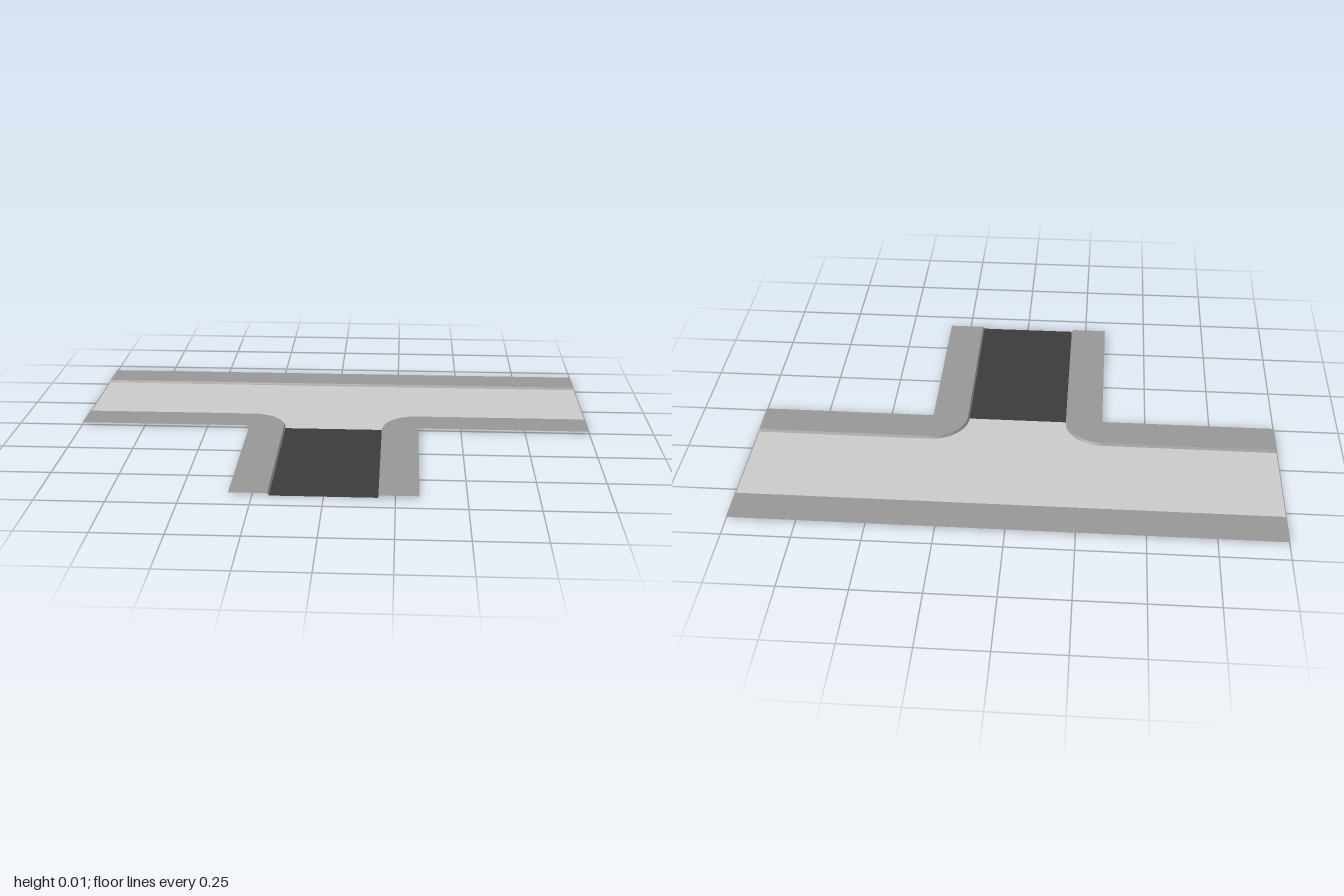
import * as THREE from 'three';

const END = 1;          // half length of the main road
const DEPTH = 0.667;    // half depth of the whole junction
const BRANCH = 0.333;   // half width of the side road with pavements
const WALK = 0.137;     // pavement width
const SLOPE = 0.006;    // sideways lean of the kerb face
const HEIGHT = 0.009;   // kerb height

const material = (color) => new THREE.MeshStandardMaterial({
  color, roughness: 0.9, flatShading: true, side: THREE.DoubleSide,
});

// Edge line of one front pavement at distance r from its outer border, as [x, z] pairs
function kerbLine(side, r) {
  const pts = [[side * END, -r]];
  const steps = 12;
  for (let i = 0; i <= steps; i++) {
    const a = (i / steps) * Math.PI / 2;
    pts.push([side * (BRANCH - r * Math.sin(a)), -r * Math.cos(a)]);
  }
  pts.push([side * (BRANCH - r), DEPTH]);
  return pts;
}

// Horizontal sheet from an [x, z] outline
function sheet(name, outline, y, mat) {
  const shape = new THREE.Shape(outline.map(([x, z]) => new THREE.Vector2(x, -z)));
  const geo = new THREE.ShapeGeometry(shape).rotateX(-Math.PI / 2);
  const mesh = new THREE.Mesh(geo, mat);
  mesh.name = name;
  mesh.position.y = y;
  return mesh;
}

// Sloped strip joining a low line to a high line
function kerb(name, low, high, mat) {
  const pos = [];
  const index = [];
  low.forEach(([x, z], i) => {
    pos.push(x, 0, z, high[i][0], HEIGHT, high[i][1]);
    if (i > 0) {
      const a = 2 * (i - 1);
      index.push(a, a + 2, a + 3, a, a + 3, a + 1);
    }
  });
  // Turn the strip over when it would face downwards
  const dx = low[1][0] - low[0][0];
  const dz = high[0][1] - low[0][1];
  if (dx * dz > 0) index.reverse();
  const geo = new THREE.BufferGeometry();
  geo.setAttribute('position', new THREE.Float32BufferAttribute(pos, 3));
  geo.setIndex(index);
  geo.computeVertexNormals();
  const mesh = new THREE.Mesh(geo, mat);
  mesh.name = name;
  return mesh;
}

export function createModel() {
  const group = new THREE.Group();
  group.name = 'roadJunction';
  const road = material(0xcccccc);
  const asphalt = material(0x3c3c3c);
  const paving = material(0x989898);

  const low = WALK + SLOPE;
  const backLow = -DEPTH + low;
  const backHigh = -DEPTH + WALK;

  // Main road with its rounded mouth towards the side road
  const mouth = (side) => kerbLine(side, low).slice(0, -1);
  group.add(sheet('mainRoad', [
    [-END, backLow], ...mouth(-1), ...mouth(1).reverse(), [END, backLow],
  ], 0, road));

  // Side road
  const half = BRANCH - low;
  group.add(sheet('sideRoad', [[-half, 0], [-half, DEPTH], [half, DEPTH], [half, 0]], 0, asphalt));

  // Straight pavement and kerb along the back
  group.add(sheet('backPavement', [
    [-END, -DEPTH], [-END, backHigh], [END, backHigh], [END, -DEPTH],
  ], HEIGHT, paving));
  group.add(kerb('backKerb',
    [[-END, backLow], [END, backLow]], [[-END, backHigh], [END, backHigh]], paving));

  // Two corner pavements and their curved kerbs
  for (const side of [-1, 1]) {
    const label = side > 0 ? 'left' : 'right';
    const edge = kerbLine(side, WALK);
    group.add(sheet(label + 'Pavement', [
      ...edge, [side * BRANCH, DEPTH], [side * BRANCH, 0], [side * END, 0],
    ], HEIGHT, paving));
    group.add(kerb(label + 'Kerb', kerbLine(side, low), edge, paving));
  }
  return group;
}
